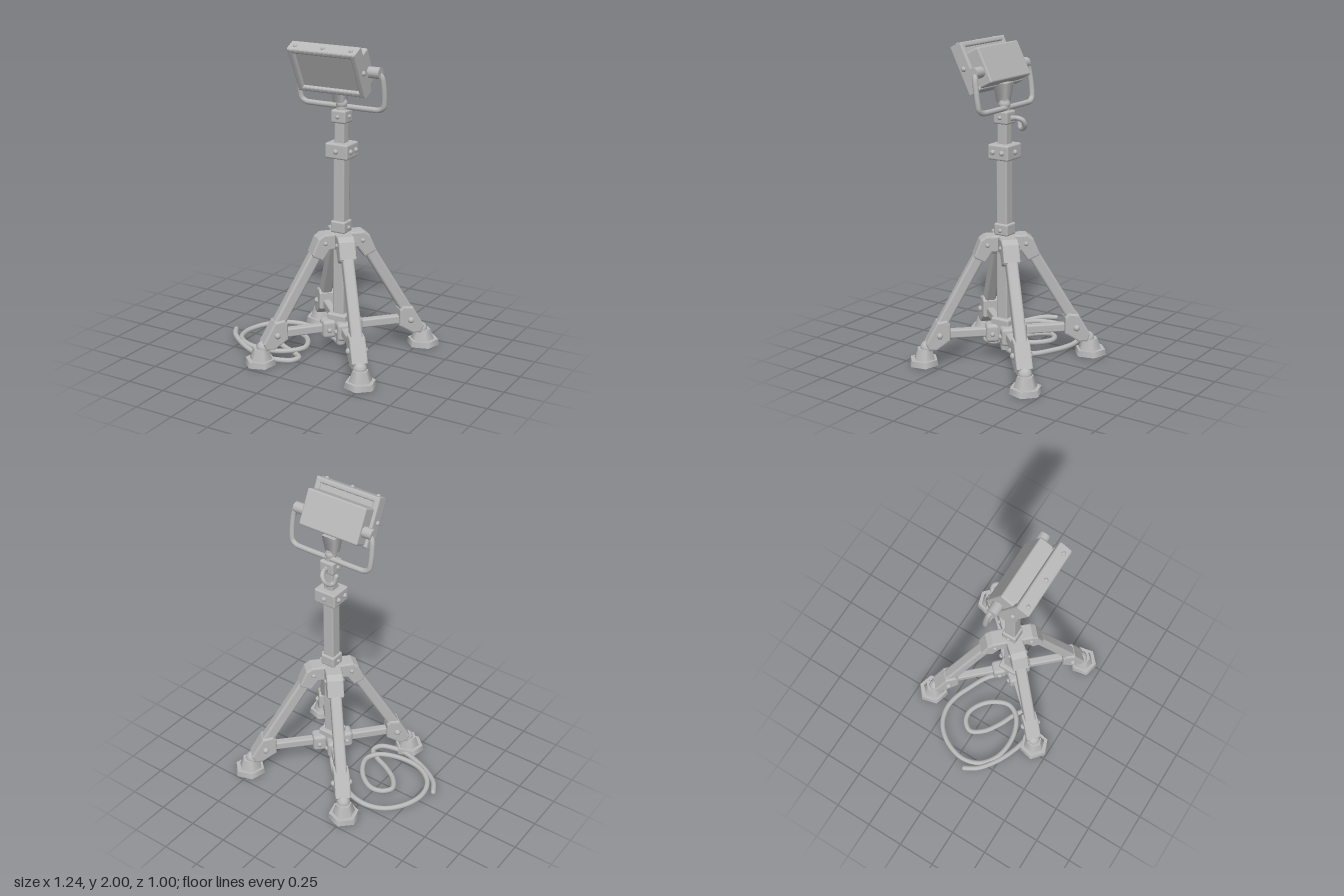
import * as THREE from 'three';
import { RoundedBoxGeometry } from 'three/addons/geometries/RoundedBoxGeometry.js';

const grey = new THREE.MeshStandardMaterial({ color: 0xb8b8b8 });
grey.name = 'paintedMetalGrey';

const MAST_X = 0.141;

function add(parent, name, geometry, x = 0, y = 0, z = 0) {
  const mesh = new THREE.Mesh(geometry, grey);
  mesh.name = name;
  mesh.position.set(x, y, z);
  parent.add(mesh);
  return mesh;
}

const box = (w, h, d, r = 0.012) => new RoundedBoxGeometry(w, h, d, 2, r);
const bolt = (r = 0.016) => new THREE.SphereGeometry(r, 12, 8);

function group(parent, name, x = 0, y = 0, z = 0) {
  const g = new THREE.Group();
  g.name = name;
  g.position.set(x, y, z);
  parent.add(g);
  return g;
}

// Side profile extruded to a given width, centred on z, with softened edges
function plate(points, width, bevel = 0.01) {
  const shape = new THREE.Shape(points.map(([x, y]) => new THREE.Vector2(x, y)));
  const g = new THREE.ExtrudeGeometry(shape, {
    depth: width - 2 * bevel, bevelEnabled: true, bevelThickness: bevel,
    bevelSize: bevel, bevelOffset: -bevel, bevelSegments: 2,
  });
  return g.translate(0, 0, bevel - width / 2);
}

function tube(points, radius, segments, closedEnds = true) {
  const curve = new THREE.CatmullRomCurve3(points.map((p) => new THREE.Vector3(...p)), false, 'centripetal');
  const g = new THREE.TubeGeometry(curve, segments, radius, 10);
  return { g, ends: closedEnds ? [points[0], points[points.length - 1]] : [] };
}

function addTube(parent, name, points, radius, segments) {
  const { g, ends } = tube(points, radius, segments);
  add(parent, name, g);
  ends.forEach((p) => add(parent, name + 'End', bolt(radius), ...p));
}

// Mast with its collars, clamp and lower hub
function buildMast(root) {
  const mast = group(root, 'mast', MAST_X);
  add(mast, 'lowerPole', box(0.076, 1.22, 0.076, 0.01), 0, 0.73);
  add(mast, 'upperPole', box(0.068, 0.28, 0.068, 0.01), 0, 1.44);
  add(mast, 'hubCollar', box(0.1, 0.075, 0.1), 0, 0.855);
  add(mast, 'poleClamp', box(0.155, 0.095, 0.145), 0, 1.337);
  add(mast, 'topCollar', box(0.1, 0.08, 0.1), 0, 1.545);
  add(mast, 'braceHub', box(0.13, 0.12, 0.13), 0, 0.23);
  add(mast, 'cableOutlet', new THREE.CylinderGeometry(0.035, 0.028, 0.08, 12), 0, 0.115);
  for (const s of [-1, 1]) {
    add(mast, 'clampFrontBolt', bolt(), 0, 1.337, s * 0.073);
    add(mast, 'topCollarBolt', bolt(0.013), 0, 1.545, s * 0.05);
    add(mast, 'topCollarSideBolt', bolt(0.013), s * 0.05, 1.545, 0);
    add(mast, 'hubCollarBolt', bolt(0.013), s * 0.05, 0.85, 0);
    for (const z of [-0.032, 0.032]) add(mast, 'clampSideBolt', bolt(), s * 0.078, 1.337, z);
  }
  // Swivel under the lamp
  add(mast, 'swivelPin', new THREE.CylinderGeometry(0.028, 0.034, 0.08, 16), 0, 1.61);
  add(mast, 'swivelBall', new THREE.SphereGeometry(0.036, 16, 10), 0, 1.62);
  const bracket = new THREE.CylinderGeometry(0.065, 0.042, 0.12, 4);
  add(mast, 'lampBracket', bracket.rotateY(Math.PI / 4), -0.006, 1.69, 0.012);
}

// One leg, laid out along local +x away from the mast
function buildLeg(root, name, dx, dz) {
  const leg = group(root, name, MAST_X);
  leg.rotation.y = Math.atan2(-dz, dx);
  leg.scale.x = Math.hypot(dx, dz) / 0.54;

  add(leg, 'shoulder', plate([[0.03, 0.82], [0.13, 0.82], [0.165, 0.795], [0.205, 0.7],
    [0.2, 0.685], [0.135, 0.655], [0.09, 0.72], [0.03, 0.72]], 0.105));
  const a = new THREE.Vector2(0.135, 0.75), b = new THREE.Vector2(0.465, 0.18);
  const bar = add(leg, 'legTube', box(a.distanceTo(b), 0.072, 0.072, 0.016), (a.x + b.x) / 2, (a.y + b.y) / 2);
  bar.rotation.z = Math.atan2(b.y - a.y, b.x - a.x);
  add(leg, 'knee', plate([[0.365, 0.27], [0.385, 0.295], [0.45, 0.285], [0.525, 0.15],
    [0.505, 0.11], [0.455, 0.105], [0.365, 0.165]], 0.1));
  add(leg, 'braceBar', box(0.36, 0.055, 0.05, 0.01), 0.23, 0.198);
  add(leg, 'braceClevis', box(0.09, 0.115, 0.095, 0.022), 0.085, 0.193);
  for (const s of [-1, 1]) {
    add(leg, 'kneeBolt', bolt(0.02), 0.435, 0.2, s * 0.05);
    add(leg, 'clevisBolt', bolt(), 0.09, 0.19, s * 0.047);
    add(leg, 'shoulderBolt', bolt(0.014), 0.12, 0.765, s * 0.052);
  }
  // Ankle and six-sided foot
  add(leg, 'ankle', new THREE.SphereGeometry(0.043, 14, 10), 0.515, 0.115);
  add(leg, 'footDome', new THREE.CylinderGeometry(0.05, 0.074, 0.07, 6), 0.53, 0.078);
  add(leg, 'footPad', new THREE.CylinderGeometry(0.095, 0.102, 0.036, 6), 0.535, 0.028);
}

// Tilted floodlight head
function buildLamp(root) {
  const lamp = group(root, 'lampHead', 0.132, 1.846, 0.133);
  lamp.rotation.x = 0.464;
  const rect = (w, h, T) => new T([[-1, -1], [1, -1], [1, 1], [-1, 1]]
    .map(([x, y]) => new THREE.Vector2(x * w / 2, y * h / 2)));
  const face = rect(0.455, 0.305, THREE.Shape);
  face.holes.push(rect(0.375, 0.235, THREE.Path));
  const frame = new THREE.ExtrudeGeometry(face, {
    depth: 0.066, bevelEnabled: true, bevelThickness: 0.012, bevelSize: 0.012, bevelOffset: -0.012, bevelSegments: 3,
  });
  add(lamp, 'frame', frame, 0, 0, -0.033);
  add(lamp, 'lens', box(0.4, 0.26, 0.06, 0.004), 0, 0, -0.005);
  add(lamp, 'rearHousing', box(0.42, 0.225, 0.115), 0, -0.03, -0.0755);
  for (const s of [-1, 1]) {
    for (const x of [-0.185, 0, 0.185]) add(lamp, 'edgeBolt', bolt(0.014), x, s * 0.151, 0.008);
    add(lamp, 'sideBolt', bolt(0.016), s * 0.227, 0, 0.005);
  }
}

// U-shaped handle with a pivot knob on each side
function buildYoke(root) {
  const yoke = group(root, 'yoke', 0.137);
  const half = [[0, 1.6, -0.015], [0.2, 1.6, -0.015], [0.25, 1.603, -0.014], [0.279, 1.622, -0.01],
    [0.287, 1.66, -0.006], [0.287, 1.76, 0.008], [0.28, 1.805, 0.016], [0.258, 1.828, 0.024], [0.22, 1.833, 0.03]];
  const mirrored = half.slice(1).reverse().map(([x, y, z]) => [-x, y, z]);
  addTube(yoke, 'handle', [...mirrored, ...half], 0.017, 120);
  for (const s of [-1, 1]) {
    const knob = add(yoke, 'pivotKnob', new THREE.CylinderGeometry(0.034, 0.034, 0.08, 14), s * 0.24, 1.833, 0.032);
    knob.rotation.z = Math.PI / 2;
  }
}

// Hook behind the top collar, and the cable coiled on the ground
function buildHookAndCable(root) {
  addTube(root, 'cableHook', [[0.14, 1.535, -0.04], [0.135, 1.545, -0.08], [0.118, 1.53, -0.115],
    [0.1, 1.5, -0.118], [0.085, 1.475, -0.095], [0.073, 1.475, -0.068], [0.06, 1.52, -0.055]], 0.015, 48);
  addTube(root, 'cable', [
    [0.145, 0.13, 0], [0.14, 0.08, -0.01], [0.1, 0.042, -0.06], [0.02, 0.03, -0.135], [-0.1, 0.026, -0.195],
    [-0.2, 0.026, -0.235], [-0.3, 0.026, -0.246], [-0.41, 0.026, -0.21], [-0.5, 0.026, -0.11], [-0.542, 0.026, 0.03],
    [-0.51, 0.03, 0.15], [-0.42, 0.035, 0.225], [-0.31, 0.035, 0.25], [-0.19, 0.035, 0.235], [-0.1, 0.04, 0.185],
    [-0.06, 0.04, 0.11], [-0.085, 0.04, 0.025], [-0.15, 0.035, -0.055], [-0.24, 0.03, -0.1], [-0.31, 0.028, -0.085],
    [-0.352, 0.026, -0.025], [-0.305, 0.025, 0.055], [-0.2, 0.022, 0.125], [-0.1, 0.02, 0.17], [-0.035, 0.02, 0.22],
    [-0.05, 0.02, 0.28], [-0.13, 0.02, 0.315], [-0.22, 0.02, 0.322], [-0.35, 0.025, 0.285], [-0.46, 0.035, 0.23],
    [-0.55, 0.045, 0.16], [-0.597, 0.045, 0.085]], 0.017, 260);
}

export function createModel() {
  const root = new THREE.Group();
  root.name = 'tripodFloodlight';
  buildMast(root);
  buildLeg(root, 'backRightLeg', -0.38, -0.4);
  buildLeg(root, 'frontRightLeg', -0.35, 0.4);
  buildLeg(root, 'frontLeftLeg', 0.35, 0.375);
  buildLeg(root, 'backLeftLeg', 0.385, -0.405);
  buildLamp(root);
  buildYoke(root);
  buildHookAndCable(root);
  return root;
}
